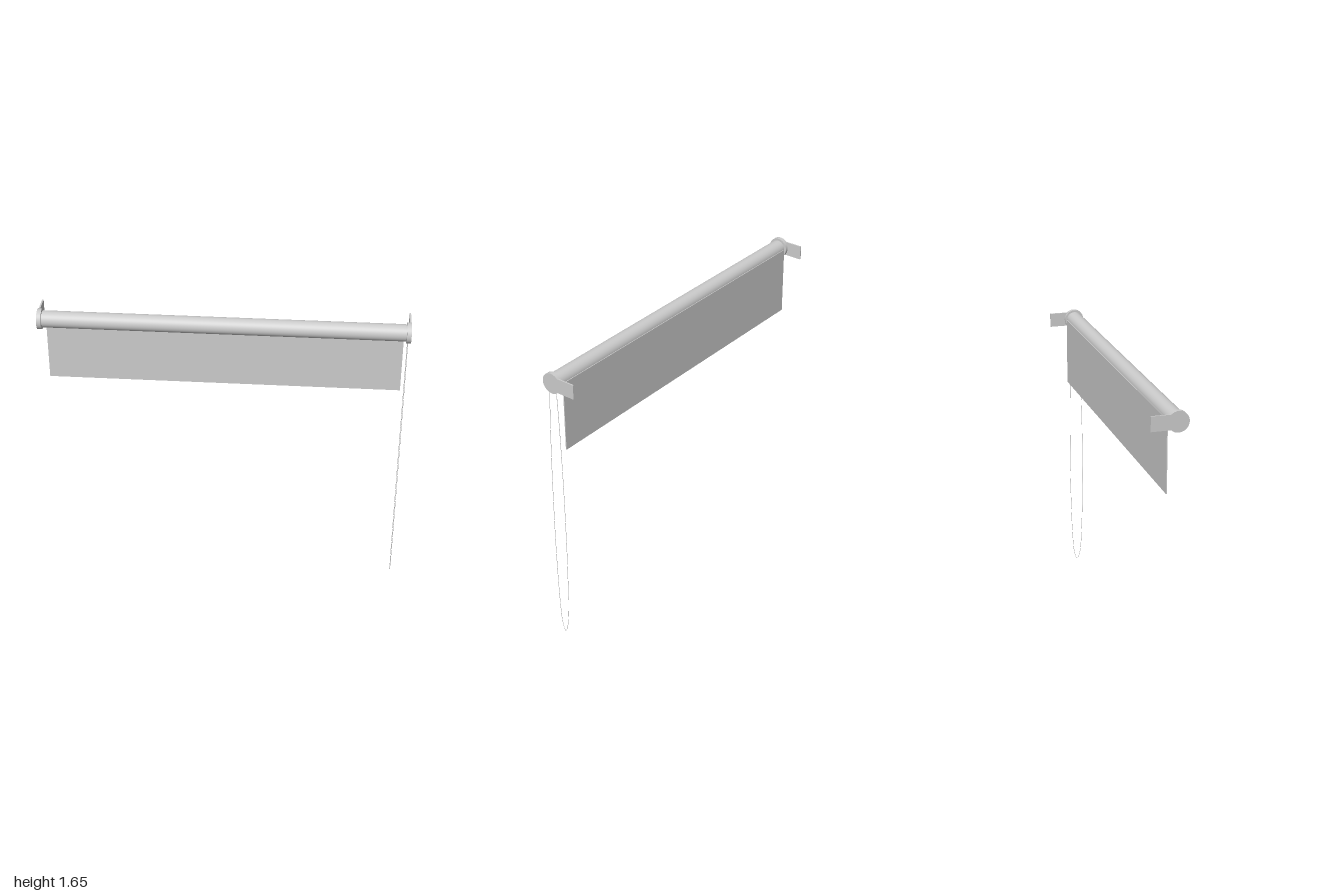
import * as THREE from 'three';

const AXIS_Y = 1.592, AXIS_Z = 0.044;

export function createModel() {
  const group = new THREE.Group();
  const mat = new THREE.MeshStandardMaterial({ color: 0xcccccc });

  const add = (name, geometry, x, y, z) => {
    const mesh = new THREE.Mesh(geometry, mat);
    mesh.name = name;
    mesh.position.set(x, y, z);
    group.add(mesh);
    return mesh;
  };
  // Cylinder lying along x on the roller axis
  const rod = (name, radius, length, x) =>
    add(name, new THREE.CylinderGeometry(radius, radius, length, 48).rotateZ(Math.PI / 2), x, AXIS_Y, AXIS_Z);

  // Rolled-up fabric and the narrow core joining it to the end caps
  rod('roller', 0.046, 1.944, 0);
  rod('rollerCore', 0.041, 1.96, 0);

  // Hanging fabric, leaving the back of the roller
  add('fabric', new THREE.BoxGeometry(1.932, 0.39, 0.005), 0, 1.4, -0.0035);

  // End caps with flat wall plates reaching back
  for (const [side, s] of [['left', 1], ['right', -1]]) {
    rod(side + 'EndCap', 0.056, 0.024, s * 0.988);
    add(side + 'WallPlate', new THREE.BoxGeometry(0.008, 0.08, 0.14), s * 0.996, AXIS_Y, -0.03);
  }

  // Pull cord: a long slim closed loop on the model's left
  const half = [[0.001, 0], [0.05, 0.018], [0.2, 0.03], [0.5, 0.038], [0.8, 0.039],
    [1.1, 0.036], [1.4, 0.028], [1.55, 0.019], [1.61, 0]];
  const points = [
    ...half.map(([y, w]) => new THREE.Vector3(0, y, w)),
    ...half.slice(1, -1).reverse().map(([y, w]) => new THREE.Vector3(0, y, -w)),
  ];
  const loop = new THREE.CatmullRomCurve3(points, true);
  add('pullCord', new THREE.TubeGeometry(loop, 200, 0.0012, 6, true), 0.984, 0, AXIS_Z + 0.006);

  return group;
}
